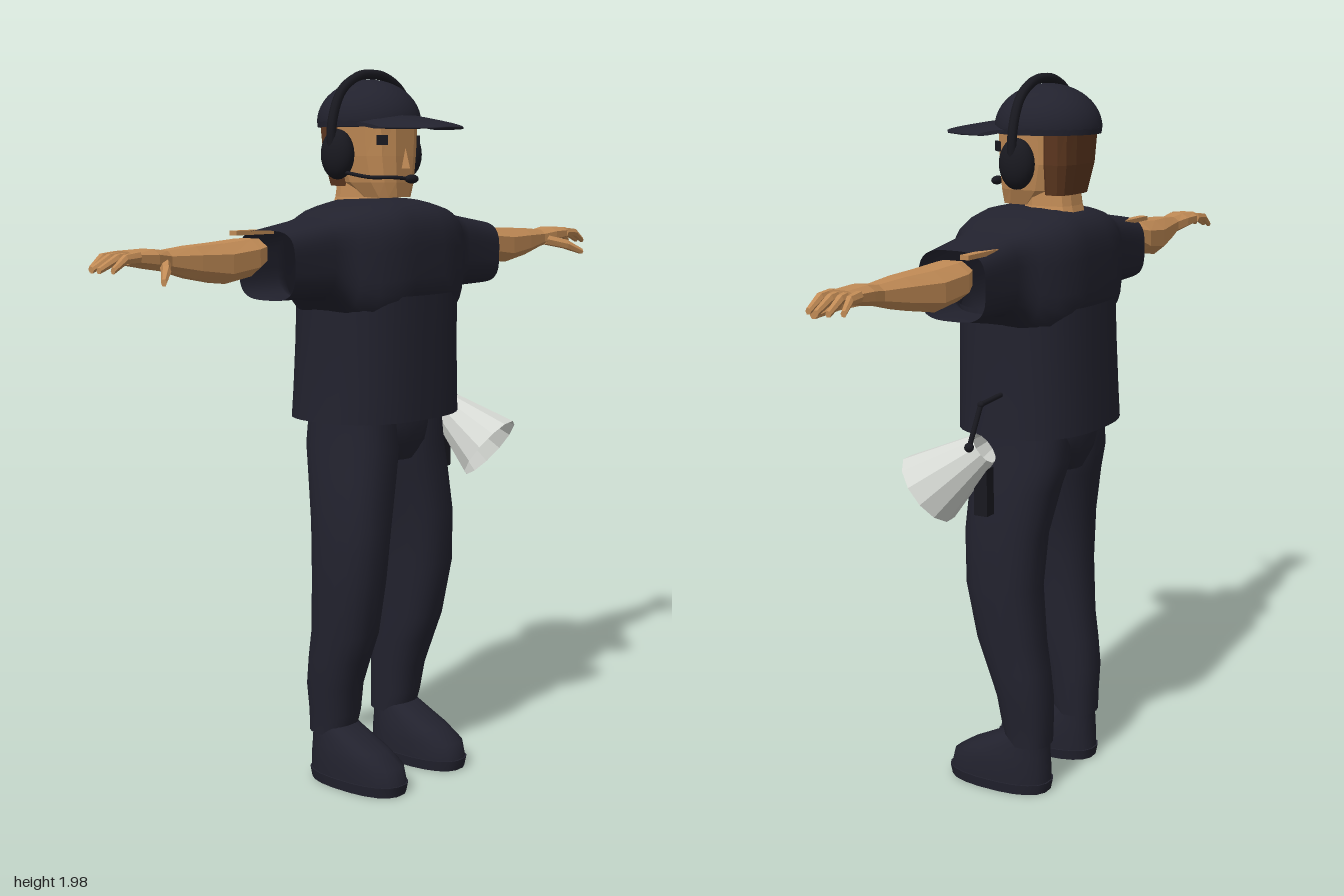
import * as THREE from 'three';

const paint = (name, color, side = THREE.FrontSide) => {
  const m = new THREE.MeshStandardMaterial({ color, side });
  m.name = name;
  return m;
};

// Skin over superellipse rings [t, c1, c2, r1, r2] stacked along y (c = x, z) or x (c = y, z)
function loft(rings, { axis = 'y', n = 20, p = 2.4, caps = true } = {}) {
  const pos = [], idx = [];
  const pow = (v) => Math.sign(v) * Math.abs(v) ** (2 / p);
  const ring = ([t, c1, c2, r1, r2]) => {
    for (let i = 0; i < n; i++) {
      const a = ((i + 0.5) / n) * Math.PI * 2;
      const u = c1 + r1 * pow(Math.cos(a)), v = r2 * pow(Math.sin(a));
      if (axis === 'y') pos.push(u, t, c2 + v);
      else pos.push(t, u, c2 - v);
    }
  };
  rings.forEach(ring);
  for (let j = 0; j < rings.length - 1; j++) {
    for (let i = 0; i < n; i++) {
      const a = j * n + i, b = j * n + (i + 1) % n;
      idx.push(a, a + n, b, b, a + n, b + n);
    }
  }
  if (caps) {
    [rings[0], rings[rings.length - 1]].forEach((r, end) => {
      const s = pos.length / 3;
      ring(r);
      for (let i = 1; i < n - 1; i++) {
        if (end) idx.push(s, s + i + 1, s + i);
        else idx.push(s, s + i, s + i + 1);
      }
    });
  }
  const g = new THREE.BufferGeometry();
  g.setAttribute('position', new THREE.Float32BufferAttribute(pos, 3));
  g.setIndex(idx);
  g.computeVertexNormals();
  return g;
}

function mirrored(geo) {
  const g = geo.clone().scale(-1, 1, 1), ix = g.index.array;
  for (let i = 0; i < ix.length; i += 3) [ix[i], ix[i + 1]] = [ix[i + 1], ix[i]];
  return g;
}

function faceted(geo) {
  const g = geo.toNonIndexed();
  g.computeVertexNormals();
  return g;
}

const v3 = (a) => new THREE.Vector3(...a);
const rod = (pts, r, segs = 24) =>
  new THREE.TubeGeometry(new THREE.CatmullRomCurve3(pts.map(v3), false, 'centripetal'), segs, r, 8);
const ball = (x, y, z, rx, ry, rz) =>
  new THREE.SphereGeometry(1, 20, 14).scale(rx, ry, rz).translate(x, y, z);

export function createModel() {
  const model = new THREE.Group();
  model.name = 'crewMember';
  const cloth = paint('navy cloth', 0x22222e, THREE.DoubleSide);
  const black = paint('black plastic', 0x191920);
  const skin = paint('skin', 0xc08a55, THREE.DoubleSide);
  const hairMat = paint('brown hair', 0x5e3820);
  const horn = paint('pale grey horn', 0xd6d9d4, THREE.DoubleSide);

  const add = (name, geo, mat, flat = false) => {
    const mesh = new THREE.Mesh(flat ? faceted(geo) : geo, mat);
    mesh.name = name;
    model.add(mesh);
    return mesh;
  };
  const pair = (name, geo, mat, flat = false) => {
    add('left' + name, geo, mat, flat);
    add('right' + name, mirrored(geo), mat, flat);
  };

  // Shirt: open body below, shoulders and open sleeves lofted from side to side
  add('shirtBody', loft([
    [1.04, 0, -0.045, 0.245, 0.195], [1.12, 0, -0.043, 0.24, 0.193],
    [1.25, 0, -0.04, 0.235, 0.19], [1.38, 0, -0.037, 0.235, 0.187],
  ], { n: 36, p: 2.5, caps: false }), cloth);
  const half = [
    [0.06, 1.472, -0.037, 0.165, 0.187], [0.12, 1.465, -0.037, 0.162, 0.182],
    [0.18, 1.46, -0.038, 0.155, 0.162], [0.225, 1.468, -0.04, 0.135, 0.132],
    [0.25, 1.478, -0.04, 0.117, 0.115], [0.29, 1.482, -0.04, 0.103, 0.105],
    [0.44, 1.472, -0.04, 0.09, 0.1],
  ];
  add('shirtShouldersAndSleeves', loft(
    [...half.map(([x, ...r]) => [-x, ...r]).reverse(), ...half],
    { axis: 'x', n: 32, p: 3.4, caps: false }), cloth);

  // Trousers
  add('trouserHips', loft([
    [0.92, 0, -0.05, 0.07, 0.12], [0.97, 0, -0.048, 0.15, 0.14],
    [1.02, 0, -0.048, 0.178, 0.145], [1.1, 0, -0.045, 0.18, 0.14],
  ]), cloth);
  pair('TrouserLeg', loft([
    [0.14, 0.135, -0.09, 0.063, 0.062], [0.2, 0.135, -0.082, 0.066, 0.072],
    [0.28, 0.14, -0.077, 0.073, 0.078], [0.36, 0.142, -0.058, 0.077, 0.088],
    [0.44, 0.143, -0.037, 0.079, 0.098], [0.6, 0.148, -0.017, 0.086, 0.108],
    [0.75, 0.138, -0.018, 0.089, 0.118], [0.88, 0.115, -0.033, 0.1, 0.128],
    [0.96, 0.1, -0.045, 0.1, 0.138], [1.06, 0.09, -0.045, 0.1, 0.135],
  ]), cloth);

  // Shoes with a wider sole
  pair('Sole', loft([[0, 0.135, 0.005, 0.076, 0.155], [0.03, 0.135, 0.005, 0.081, 0.161]]), cloth);
  pair('Shoe', loft([
    [0.03, 0.135, 0.005, 0.077, 0.157], [0.075, 0.135, 0, 0.077, 0.15],
    [0.11, 0.135, -0.025, 0.07, 0.122], [0.14, 0.135, -0.055, 0.063, 0.09],
    [0.17, 0.135, -0.085, 0.056, 0.058],
  ]), cloth);

  // Bare forearms and hands
  const limb = { axis: 'x', n: 8 };
  pair('Forearm', loft([
    [0.47, 1.505, -0.065, 0.04, 0.06], [0.5, 1.495, -0.067, 0.05, 0.068],
    [0.6, 1.485, -0.063, 0.054, 0.068], [0.7, 1.492, -0.055, 0.043, 0.052],
    [0.79, 1.5, -0.05, 0.027, 0.035], [0.84, 1.507, -0.05, 0.026, 0.045],
    [0.92, 1.513, -0.052, 0.017, 0.046],
  ], limb), skin, true);
  pair('UpperArmStrip', new THREE.BoxGeometry(0.14, 0.012, 0.025).translate(0.42, 1.555, -0.11), skin, true);
  [[-0.09, -0.1, 0.975], [-0.065, -0.073, 0.995], [-0.04, -0.042, 1], [-0.015, -0.01, 0.985]].forEach(([z0, z1, tip], i) => {
    pair('Finger' + (i + 1), loft([
      [0.9, 1.515, z0, 0.014, 0.012], [0.945, 1.512, (z0 + z1) / 2, 0.012, 0.011],
      [tip, 1.487, z1, 0.008, 0.008],
    ], { axis: 'x', n: 6 }), skin, true);
  });
  pair('Thumb', loft([
    [0.8, 1.495, -0.035, 0.016, 0.022], [0.845, 1.48, 0.018, 0.015, 0.018],
    [0.885, 1.457, 0.053, 0.009, 0.01],
  ], { axis: 'x', n: 6 }), skin, true);

  // Neck, faceted head and hair
  const facet = { n: 12, p: 3 };
  add('neck', loft([
    [1.58, 0, -0.09, 0.085, 0.085], [1.64, 0, -0.085, 0.07, 0.072], [1.72, 0, -0.08, 0.065, 0.065],
  ], facet), skin, true);
  add('head', loft([
    [1.64, 0, -0.008, 0.06, 0.062], [1.68, 0, -0.033, 0.079, 0.092],
    [1.75, 0, -0.045, 0.091, 0.107], [1.85, 0, -0.045, 0.1, 0.108],
  ], facet), skin, true);
  add('nose', new THREE.ConeGeometry(0.016, 0.055, 4).translate(0, 1.745, 0.062), skin, true);
  add('hair', loft([
    [1.67, 0, -0.122, 0.08, 0.037], [1.75, 0, -0.13, 0.098, 0.045], [1.85, 0, -0.135, 0.108, 0.045],
  ], facet), hairMat, true);
  pair('Eye', new THREE.BoxGeometry(0.03, 0.026, 0.008).rotateY(0.8).translate(0.076, 1.793, 0.044), black);

  // Cap with a curved, drooping brim
  add('capDome', new THREE.SphereGeometry(1, 28, 12, 0, Math.PI * 2, 0, Math.PI / 2)
    .scale(0.14, 0.115, 0.145).translate(0, 1.842, -0.067), cloth);
  add('capBand', loft([[1.828, 0, -0.067, 0.138, 0.143], [1.844, 0, -0.067, 0.14, 0.145]], { n: 28, p: 2 }), cloth);
  const brimHalf = [
    [0.03, 1.857, 0.135, 0.006, 0.1], [0.065, 1.85, 0.12, 0.006, 0.09],
    [0.1, 1.84, 0.085, 0.006, 0.068], [0.125, 1.828, 0.035, 0.005, 0.04],
  ];
  const brim = loft([...brimHalf.map(([x, ...r]) => [-x, ...r]).reverse(), ...brimHalf], { axis: 'x', n: 16, p: 2.5 });
  const bp = brim.attributes.position;
  for (let i = 0; i < bp.count; i++) bp.setY(i, bp.getY(i) - (bp.getZ(i) - 0.05) * 0.17);
  brim.computeVertexNormals();
  add('capBrim', brim, cloth);

  // Headset
  add('headband', rod([
    [-0.165, 1.74, -0.055], [-0.168, 1.83, -0.055], [-0.13, 1.92, -0.055], [-0.06, 1.963, -0.055],
    [0, 1.97, -0.055], [0.06, 1.963, -0.055], [0.13, 1.92, -0.055], [0.168, 1.83, -0.055], [0.165, 1.74, -0.055],
  ], 0.013, 48), black);
  pair('EarCup', ball(0.145, 1.755, -0.055, 0.038, 0.067, 0.05), black);
  add('microphoneBoom', rod([[-0.15, 1.71, -0.04], [-0.135, 1.695, 0.05], [-0.11, 1.695, 0.105], [-0.05, 1.69, 0.12]], 0.005), black);
  add('microphone', ball(-0.045, 1.69, 0.12, 0.026, 0.012, 0.012), black);

  // Megaphone hanging at the left hip
  const rear = v3([0.32, 1.03, -0.058]), front = v3([0.353, 0.907, 0.095]);
  const bell = add('megaphoneHorn', new THREE.CylinderGeometry(0.105, 0.045, rear.distanceTo(front), 12, 1, true), horn, true);
  bell.position.copy(rear).lerp(front, 0.5);
  bell.quaternion.setFromUnitVectors(v3([0, 1, 0]), front.clone().sub(rear).normalize());
  add('megaphoneGrip', new THREE.BoxGeometry(0.035, 0.13, 0.04).translate(0.31, 0.91, -0.05), black);
  add('megaphoneTrigger', new THREE.BoxGeometry(0.03, 0.02, 0.06).translate(0.305, 0.945, -0.005), black);
  const strap = [[0.2, 1.16, -0.06], [0.335, 1.15, -0.058], [0.368, 1.04, -0.042]];
  add('strapTop', rod(strap.slice(0, 2), 0.007, 1), black);
  add('strapSide', rod(strap.slice(1), 0.007, 1), black);
  add('strapCorner', ball(...strap[1], 0.009, 0.009, 0.009), black);
  add('strapMount', ball(...strap[2], 0.013, 0.013, 0.013), black);

  return model;
}
